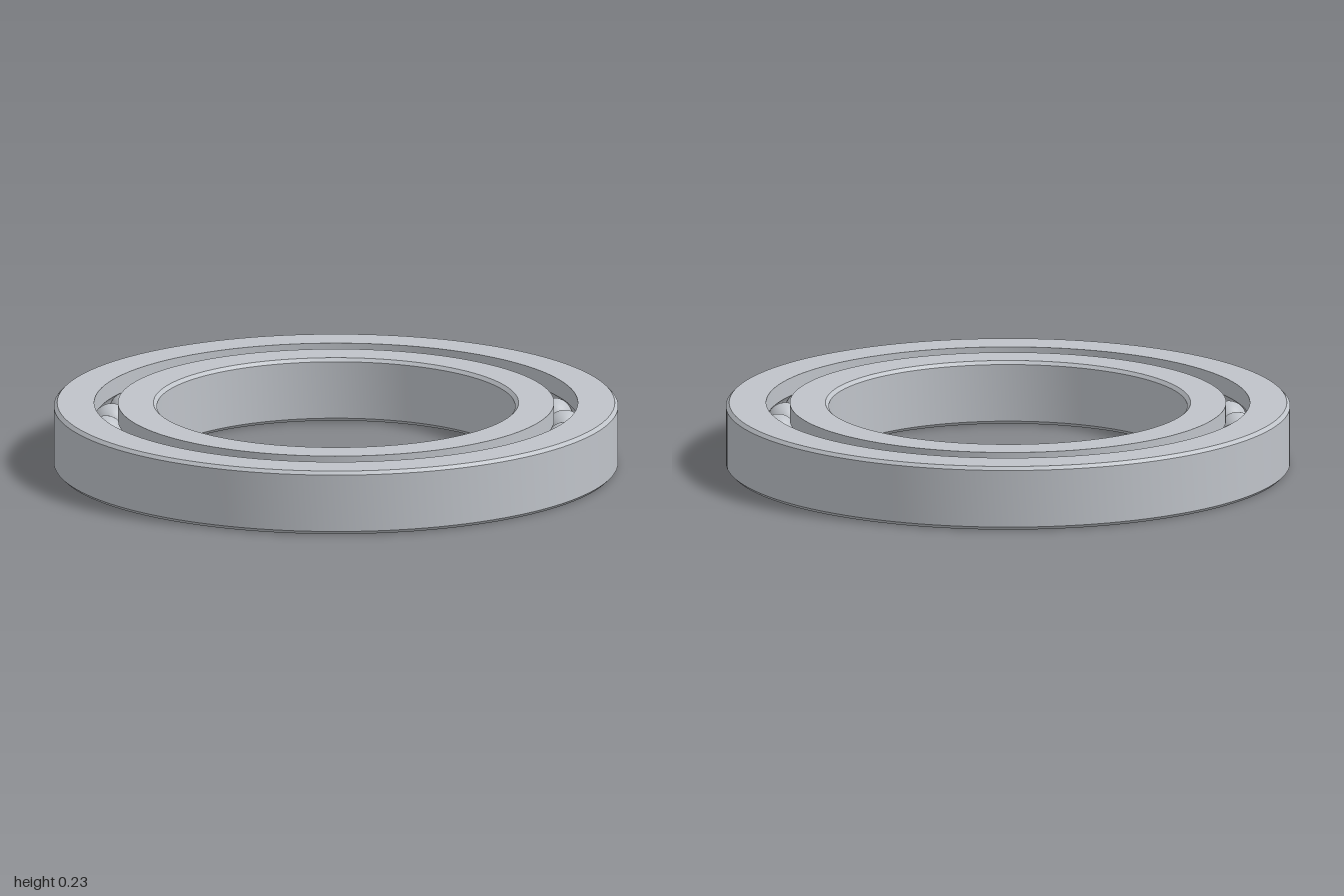
import * as THREE from 'three';
import { toCreasedNormals } from 'three/addons/utils/BufferGeometryUtils.js';

const H = 0.23;            // ring height
const C = 0.012;           // edge chamfer
const BORE = 0.635, INNER = 0.773, OUTER = 0.857, RIM = 1;
const PITCH = (INNER + OUTER) / 2;
const BALLS = 29, BALL_R = 0.065, GROOVE_R = 0.066;

// Circular raceway section, swept around the given middle angle
function groove(middle) {
  const half = Math.acos((OUTER - INNER) / 2 / GROOVE_R);
  const points = [];
  for (let i = 0; i <= 12; i++) {
    const a = middle + half - (2 * half * i) / 12;
    points.push([PITCH + GROOVE_R * Math.cos(a), H / 2 + GROOVE_R * Math.sin(a)]);
  }
  return points;
}

// Closed counter-clockwise section turned into a ring with crisp edges
function ring(name, section, material) {
  const points = [...section, section[0]].map(([x, y]) => new THREE.Vector2(x, y));
  const geometry = toCreasedNormals(new THREE.LatheGeometry(points, 128), 0.4);
  const mesh = new THREE.Mesh(geometry, material);
  mesh.name = name;
  return mesh;
}

export function createModel() {
  const model = new THREE.Group();
  model.name = 'ballBearing';
  const steel = new THREE.MeshStandardMaterial({ color: 0xbfc3c9 });
  steel.name = 'steel';

  // Inner race, chamfered at the bore and grooved on the outside
  model.add(ring('innerRing', [
    [BORE + C, 0], [INNER, 0], ...groove(Math.PI), [INNER, H],
    [BORE + C, H], [BORE, H - C], [BORE, C],
  ], steel));

  // Outer race, chamfered at the rim and grooved on the inside
  model.add(ring('outerRing', [
    [OUTER, 0], [RIM - C, 0], [RIM, C], [RIM, H - C],
    [RIM - C, H], [OUTER, H], ...groove(0),
  ], steel));

  // Balls evenly spaced between the races
  const balls = new THREE.Group();
  balls.name = 'balls';
  const ballGeometry = new THREE.SphereGeometry(BALL_R, 32, 20);
  for (let i = 0; i < BALLS; i++) {
    const a = (i / BALLS) * Math.PI * 2;
    const ball = new THREE.Mesh(ballGeometry, steel);
    ball.name = 'ball';
    ball.position.set(PITCH * Math.cos(a), H / 2, PITCH * Math.sin(a));
    balls.add(ball);
  }
  model.add(balls);
  return model;
}
